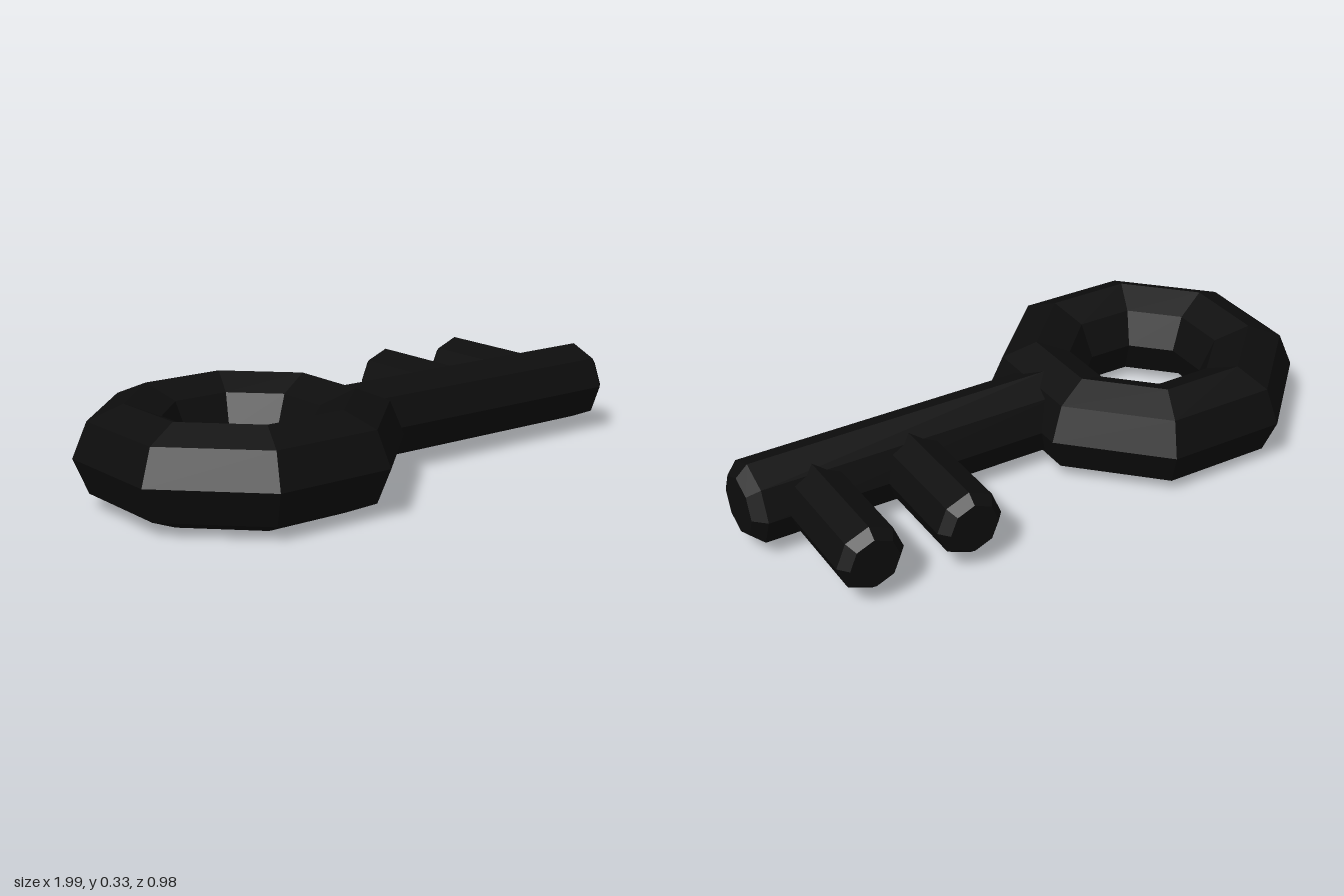
import * as THREE from 'three';

const MID = 0.163; // height of the key's centre plane

export function createModel() {
  const key = new THREE.Group();
  key.name = 'key';
  const material = new THREE.MeshStandardMaterial({ color: 0x0d0d0d, flatShading: true });

  const add = (name, geometry, x, z) => {
    const mesh = new THREE.Mesh(geometry, material);
    mesh.name = name;
    mesh.position.set(x, MID, z);
    key.add(mesh);
  };

  // Eight-sided rod along +y with a bevelled tip
  const rod = (radius, length, bevel, tipRadius) => new THREE.LatheGeometry([
    new THREE.Vector2(0, 0),
    new THREE.Vector2(radius, 0),
    new THREE.Vector2(radius, length - bevel),
    new THREE.Vector2(tipRadius, length),
    new THREE.Vector2(0, length),
  ], 8);

  // Octagonal ring handle, lying flat with a side facing the shaft
  const ring = new THREE.TorusGeometry(0.368, 0.163, 8, 8);
  ring.rotateZ(Math.PI / 8).rotateX(-Math.PI / 2);
  add('ringHandle', ring, -0.51, 0);

  // Shaft, starting inside the ring
  add('shaft', rod(0.137, 1.11, 0.04, 0.099).rotateZ(-Math.PI / 2), -0.12, 0);

  // Two teeth pointing to the back
  [0.43, 0.765].forEach((x, i) => {
    add(`tooth${i + 1}`, rod(0.111, 0.48, 0.034, 0.083).rotateX(-Math.PI / 2), x, 0);
  });

  return key;
}
